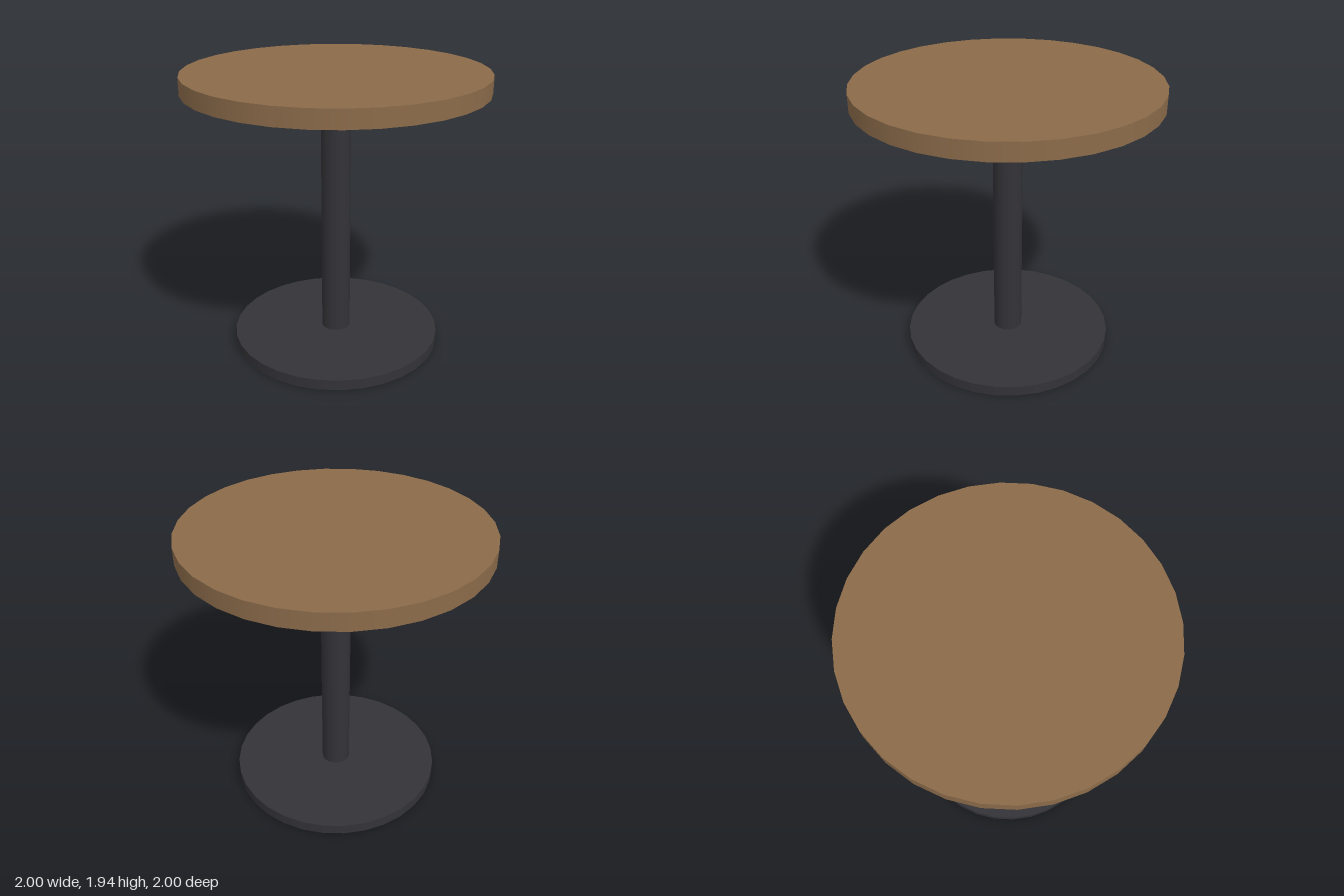
import * as THREE from 'three';

export function createModel() {
  const table = new THREE.Group();
  table.name = 'pedestalTable';

  const wood = new THREE.MeshStandardMaterial({ color: 0x8b6b4a });
  wood.name = 'brown wood';
  const metal = new THREE.MeshStandardMaterial({ color: 0x333338 });
  metal.name = 'dark metal';

  // Upright disc or post spanning two heights
  const addRound = (name, radius, bottom, top, sides, material) => {
    const geometry = new THREE.CylinderGeometry(radius, radius, top - bottom, sides);
    const mesh = new THREE.Mesh(geometry, material);
    mesh.name = name;
    mesh.position.y = (bottom + top) / 2;
    table.add(mesh);
  };

  addRound('basePlate', 0.727, 0, 0.073, 32, metal);
  addRound('column', 0.1, 0.073, 1.82, 16, metal);
  addRound('tableTop', 1, 1.82, 1.936, 32, wood);

  return table;
}
